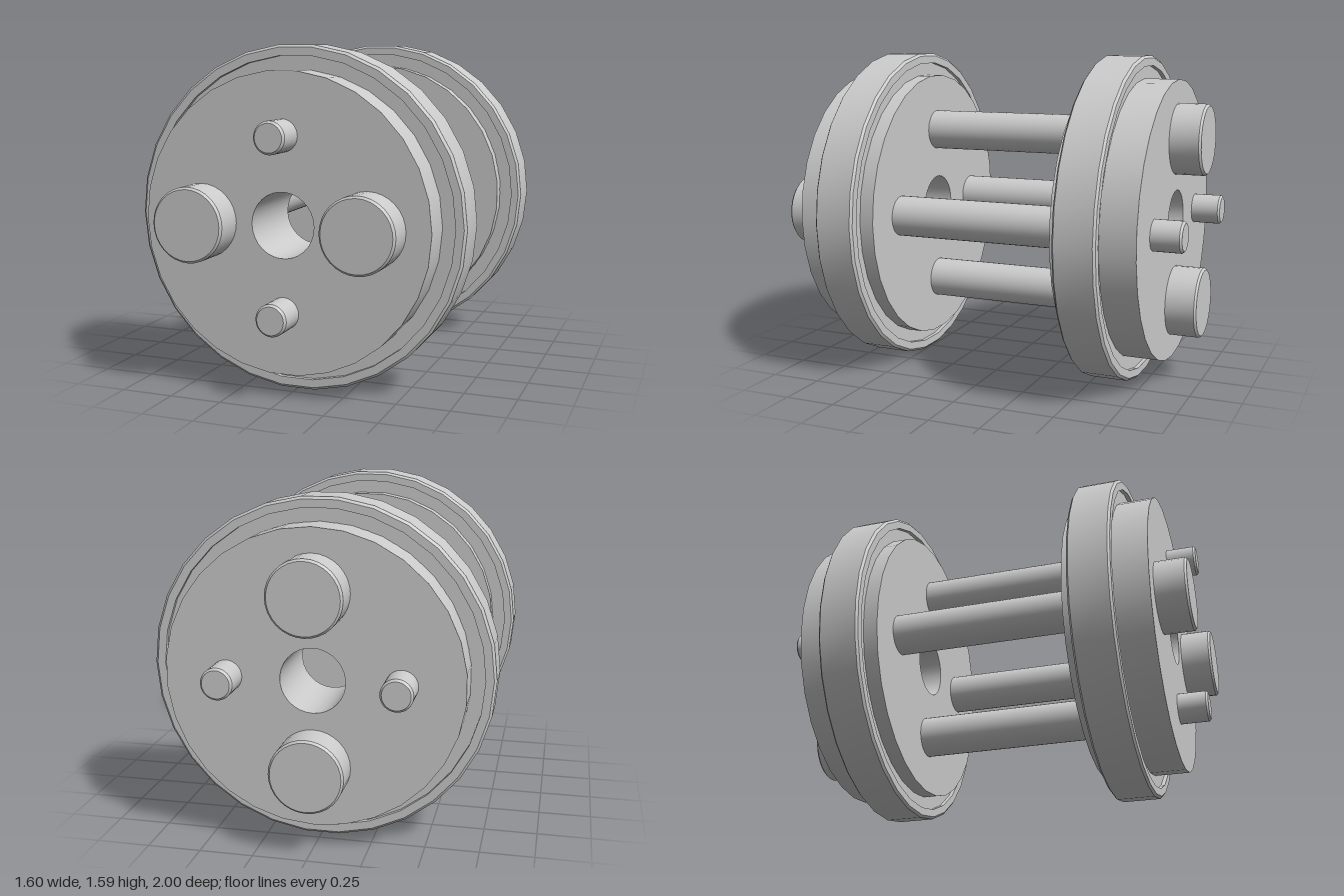
import * as THREE from 'three';
import { toCreasedNormals } from 'three/addons/utils/BufferGeometryUtils.js';

const CENTER_Y = 0.796;
const SIDES = 30;

export function createModel() {
  const model = new THREE.Group();
  const material = new THREE.MeshStandardMaterial({ color: 0xcccccc });

  // Revolves [radius, z] pairs around the z axis, keeping hard edges sharp.
  function turned(name, profile, sides, parent) {
    const points = profile.map(([r, z]) => new THREE.Vector2(r, z));
    const lathe = new THREE.LatheGeometry(points, sides, Math.PI / 2);
    lathe.rotateX(Math.PI / 2);
    const mesh = new THREE.Mesh(toCreasedNormals(lathe, 0.6), material);
    mesh.name = name;
    parent.add(mesh);
    return mesh;
  }

  // Round stud with a small bevel at its outer end.
  function stud(name, radius, from, to, x, y, parent) {
    const b = 0.01;
    const mesh = turned(name, [
      [0, from], [radius, from], [radius, to - b], [radius - b, to], [0, to],
    ], 32, parent);
    mesh.position.set(x, y, 0);
  }

  // Wheel disc with its centre hole and end studs; faces +z.
  function hub(name) {
    const group = new THREE.Group();
    group.name = name;
    turned('disc', [
      [0.15, 0.45], [0.686, 0.45], [0.686, 0.85], [0.15, 0.85], [0.15, 0.45],
    ], SIDES, group);
    for (const s of [-1, 1]) {
      stud('largeStud', 0.172, 0.84, 1, s * 0.4, 0, group);
      stud('smallStud', 0.074, 0.84, 0.995, 0, s * 0.4, group);
    }
    return group;
  }

  const frontHub = hub('frontHub');
  const backHub = hub('backHub');
  // The back hub is turned a quarter, so its large studs are above and below.
  backHub.rotation.set(0, Math.PI, Math.PI / 2);
  model.add(frontHub, backHub);

  // Tyres: bevelled rims with a shallow step down to the disc on both faces.
  for (const [name, z] of [['frontTyre', 0.6], ['backTyre', -0.6]]) {
    turned(name, [
      [0.684, -0.08], [0.75, -0.08], [0.75, -0.1], [0.788, -0.1], [0.8, -0.09],
      [0.8, 0.09], [0.788, 0.1], [0.75, 0.1], [0.75, 0.08], [0.684, 0.08],
      [0.684, -0.08],
    ], SIDES, model).position.z = z;
  }

  // Four rods joining the two wheels.
  for (let i = 0; i < 4; i++) {
    const a = i * Math.PI / 2;
    const rod = turned('rod', [[0, -0.46], [0.1, -0.46], [0.1, 0.46], [0, 0.46]], 32, model);
    rod.position.set(0.4 * Math.cos(a), 0.4 * Math.sin(a), 0);
  }

  for (const part of model.children) part.position.y += CENTER_Y;
  return model;
}
